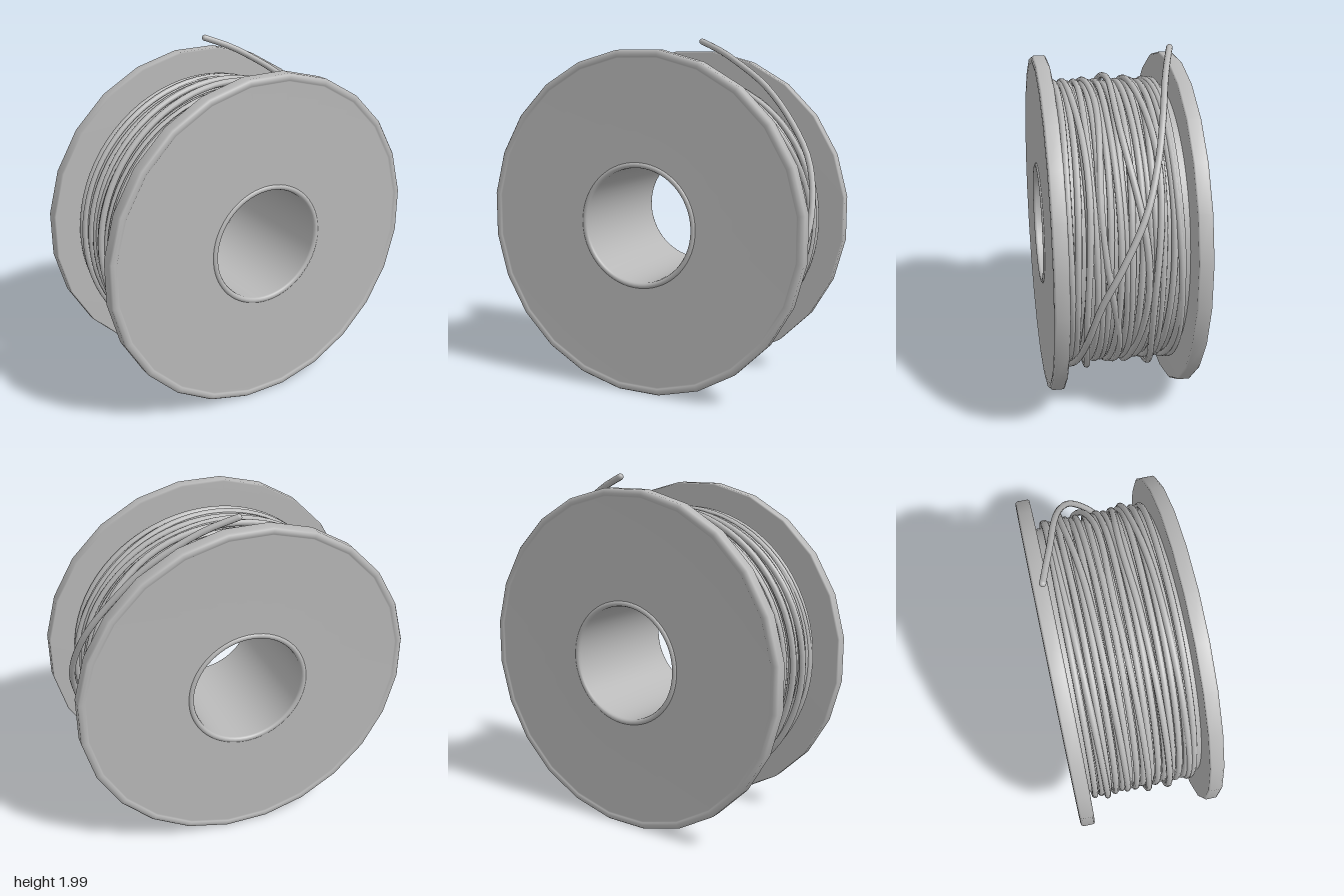
import * as THREE from 'three';

const CY = 0.966; // height of the spool axis
const WIRE = 0.018;

// Lathe about the z axis, from [radius, z] pairs running counter-clockwise
function turned(name, profile, sides, material) {
  const pts = profile.map(([r, z]) => new THREE.Vector2(r, z));
  const geo = new THREE.LatheGeometry(pts, sides, Math.PI / sides);
  geo.rotateX(Math.PI / 2);
  const mesh = new THREE.Mesh(geo, material);
  mesh.name = name;
  mesh.position.y = CY;
  return mesh;
}

// Wire path: a neat layer to the back, a loose crossing layer to the front, then the free end
function wirePath() {
  const pts = [];
  const start = THREE.MathUtils.degToRad(-66);
  const base = 15, over = 5, steps = 36;
  for (let i = 0; i <= (base + over) * steps; i++) {
    const turn = i / steps;
    const a = start + turn * Math.PI * 2;
    const side = Math.max(0, Math.cos(a)); // wander only on the +x side
    let z, r;
    if (turn < base) {
      z = 0.298 - 0.596 * turn / base + 0.012 * side * Math.sin(2 * a + turn * 1.7);
      r = 0.802 + 0.006 * Math.sin(turn * 2.3);
    } else {
      const t = (turn - base) / over;
      const blend = Math.sin(Math.PI * t);
      z = -0.298 + 0.588 * t + 0.06 * blend * side * Math.sin(2 * a + turn * 2.1);
      r = 0.808 + 0.03 * Math.min(1, t * 8) * (0.5 + 0.5 * Math.sin(turn * 4.4));
    }
    z = THREE.MathUtils.clamp(z, -0.3, 0.3);
    pts.push(new THREE.Vector3(r * Math.cos(a), CY + r * Math.sin(a), z));
  }
  // free end rising over the back flange
  [[0.62, 0.4, 0.255], [0.78, 0.6, 0.215], [0.865, 0.85, 0.15], [0.885, 1.05, 0.055],
    [0.82, 1.32, -0.08], [0.67, 1.55, -0.165], [0.5, 1.73, -0.22], [0.3, 1.865, -0.27],
    [0.18, 1.93, -0.305], [0.05, 1.982, -0.345]].forEach(p => pts.push(new THREE.Vector3(...p)));
  return new THREE.CatmullRomCurve3(pts);
}

export function createModel() {
  const group = new THREE.Group();
  group.name = 'wireSpool';
  const grey = new THREE.MeshStandardMaterial({ color: 0xb8b8b8 });
  grey.name = 'grey';

  // Flange discs with a rounded rim and a slightly recessed outer face
  const flangeProfile = [
    [0.34, 0.32], [0.957, 0.32], [0.965, 0.328], [0.965, 0.388], [0.957, 0.398],
    [0.94, 0.401], [0.926, 0.398], [0.92, 0.392], [0.34, 0.392],
  ];
  const front = turned('frontFlange', flangeProfile, 24, grey);
  const back = turned('backFlange', flangeProfile, 24, grey);
  back.rotation.y = Math.PI;
  group.add(front, back);

  // Hub tube with a rolled lip at both ends of the bore
  const lip = [[0.352, 0.39], [0.35, 0.396], [0.342, 0.401], [0.333, 0.401], [0.325, 0.396], [0.321, 0.386]];
  const bore = [...lip, ...lip.map(([r, z]) => [r, -z]).reverse()];
  group.add(turned('hubBore', bore, 64, grey));

  // Drum beneath the windings
  group.add(turned('drum', [[0.785, -0.325], [0.785, 0.325]], 64, grey));

  // Wound wire, with round caps on its two ends
  const path = wirePath();
  path.arcLengthDivisions = 4000;
  const wire = new THREE.Mesh(new THREE.TubeGeometry(path, 1500, WIRE, 10, false), grey);
  wire.name = 'wire';
  group.add(wire);
  for (const t of [0, 1]) {
    const cap = new THREE.Mesh(new THREE.SphereGeometry(WIRE, 10, 8), grey);
    cap.name = t ? 'wireFreeEnd' : 'wireStart';
    cap.position.copy(path.getPoint(t));
    group.add(cap);
  }
  return group;
}
